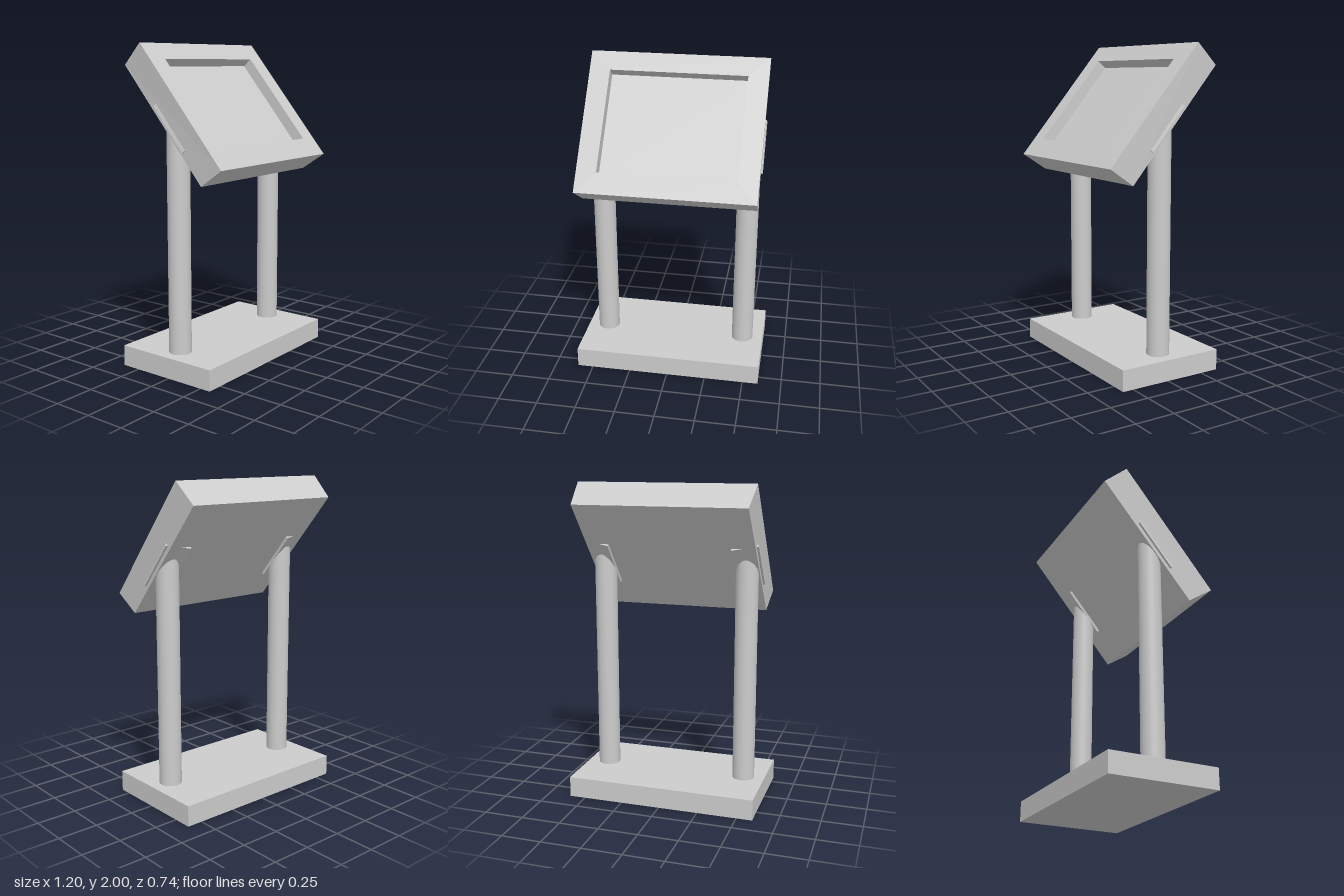
import * as THREE from 'three';

const grey = new THREE.MeshStandardMaterial({ color: 0xcccccc });
grey.name = 'light grey';

function add(parent, name, geometry) {
  const mesh = new THREE.Mesh(geometry, grey);
  mesh.name = name;
  parent.add(mesh);
  return mesh;
}

// Rectangle of four corners: bottom edge, then top edge, anticlockwise from the front
function ring(bottom, top) {
  const [bl, br, by, bz] = bottom;
  const [tl, tr, ty, tz] = top;
  return [[bl, by, bz], [br, by, bz], [tr, ty, tz], [tl, ty, tz]];
}

// Slanted housing with a recessed screen, skinned through successive rings
function housingGeometry() {
  const rings = [
    ring([-0.54, 0.54, 1.185, 0.215], [-0.54, 0.54, 1.87, -0.37]),      // back
    ring([-0.553, 0.546, 1.29, 0.37], [-0.56, 0.552, 2.0, -0.228]),     // front rim
    ring([-0.428, 0.425, 1.395, 0.285], [-0.43, 0.425, 1.905, -0.145]), // opening
    ring([-0.428, 0.425, 1.35, 0.23], [-0.43, 0.425, 1.86, -0.198]),    // screen
  ];
  const positions = [];
  const quad = (a, b, c, d) => positions.push(...a, ...b, ...c, ...a, ...c, ...d);
  for (let r = 0; r < rings.length - 1; r++) {
    for (let i = 0; i < 4; i++) {
      const j = (i + 1) % 4;
      quad(rings[r][i], rings[r][j], rings[r + 1][j], rings[r + 1][i]);
    }
  }
  quad(...[...rings[0]].reverse());
  quad(...rings[3]);
  const geometry = new THREE.BufferGeometry();
  geometry.setAttribute('position', new THREE.Float32BufferAttribute(positions, 3));
  geometry.computeVertexNormals();
  return geometry;
}

// Upright tube whose top is cut to the slope of the housing's back
function postGeometry() {
  const geometry = new THREE.CylinderGeometry(0.07, 0.07, 1, 32);
  geometry.translate(0, 0.5, -0.02);
  const p = geometry.attributes.position;
  for (let i = 0; i < p.count; i++) {
    p.setY(i, p.getY(i) > 0.5 ? 1.445 - 1.18 * p.getZ(i) : 0.12);
  }
  return geometry;
}

export function createModel() {
  const model = new THREE.Group();
  model.name = 'informationStand';

  // Base slab
  add(model, 'base', new THREE.BoxGeometry(1.2, 0.13, 0.69)).position.set(0, 0.065, -0.025);

  // Tilted display
  add(model, 'displayHousing', housingGeometry());

  // Posts and mounting plates
  for (const side of [-1, 1]) {
    const label = side > 0 ? 'left' : 'right';
    add(model, label + 'Post', postGeometry()).position.x = side * 0.463;
    const plate = add(model, label + 'MountingPlate', new THREE.BoxGeometry(0.165, 0.34, 0.02));
    plate.position.set(side * 0.471, 1.495, -0.032);
    plate.rotation.set(-0.7, -0.25 * side, 0);
  }
  return model;
}
